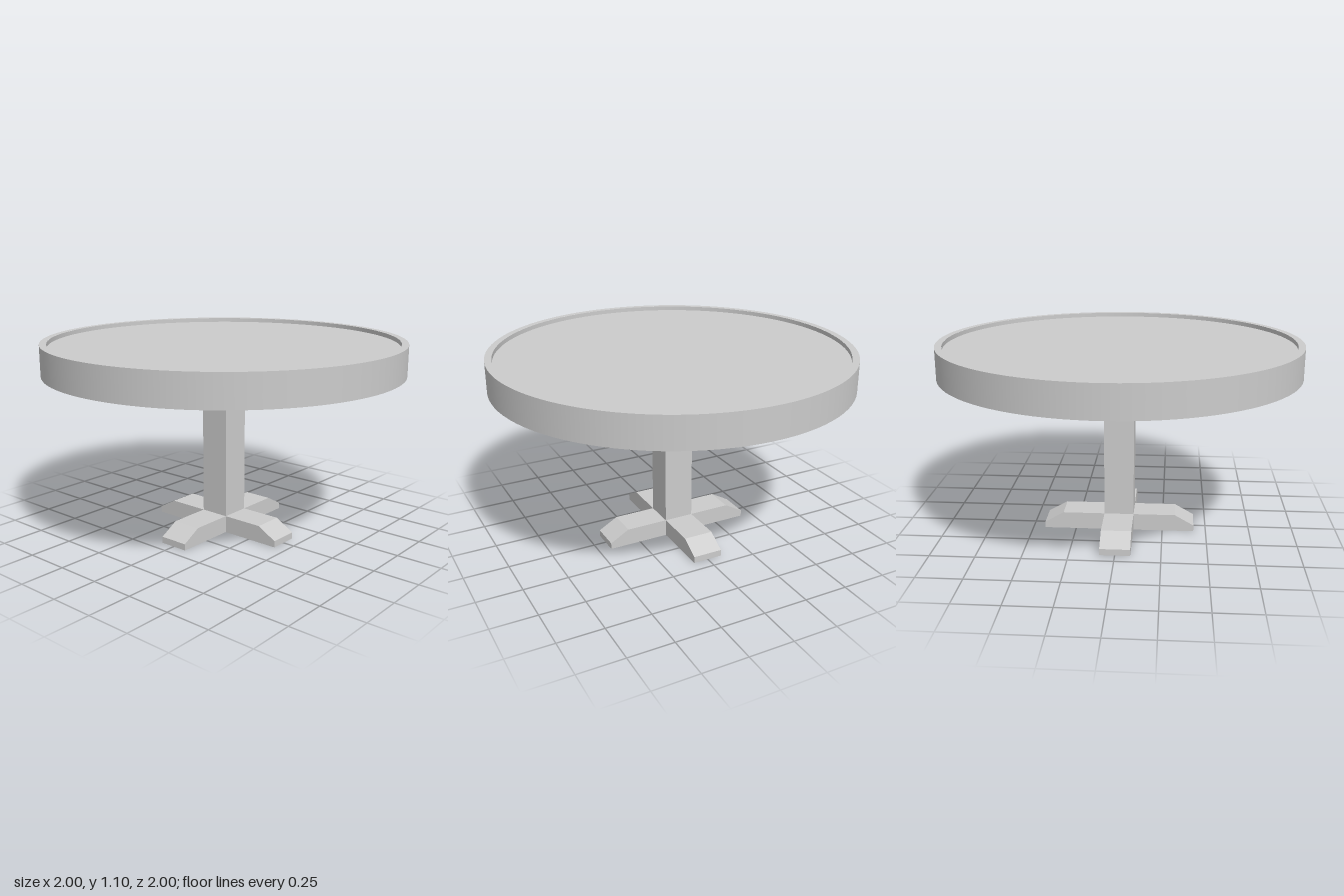
import * as THREE from 'three';

const material = new THREE.MeshStandardMaterial({ color: 0xcccccc });
const SEGMENTS = 96;
const TOP = 1.097, BOTTOM = 0.926, RECESS = 0.024, INNER = 0.962;
const HALF = 0.084; // half width of post and feet

function add(parent, name, geometry) {
  const mesh = new THREE.Mesh(geometry, material);
  mesh.name = name;
  parent.add(mesh);
  return mesh;
}

export function createModel() {
  const table = new THREE.Group();
  table.name = 'roundPedestalTable';

  // Rim: a flat ring extruded upwards, smooth around the circle
  const ring = new THREE.Shape().absarc(0, 0, 1, 0, Math.PI * 2);
  ring.holes.push(new THREE.Path().absarc(0, 0, INNER, 0, Math.PI * 2, true));
  for (const y of [TOP, BOTTOM]) {
    const face = add(table, y === TOP ? 'rimTop' : 'rimUnderside', new THREE.ShapeGeometry(ring, SEGMENTS));
    face.rotation.x = y === TOP ? -Math.PI / 2 : Math.PI / 2;
    face.position.y = y;
  }
  const height = TOP - BOTTOM, middle = (TOP + BOTTOM) / 2;
  const outer = new THREE.CylinderGeometry(1, 1, height, SEGMENTS, 1, true);
  add(table, 'rimOuterWall', outer).position.y = middle;
  // Lathe profile running downwards faces inwards
  const inner = [new THREE.Vector2(INNER, TOP), new THREE.Vector2(INNER, BOTTOM)];
  add(table, 'rimInnerWall', new THREE.LatheGeometry(inner, SEGMENTS));

  // Table top, recessed inside the rim above and below
  const board = new THREE.CylinderGeometry(INNER, INNER, height - 2 * RECESS, SEGMENTS);
  add(table, 'tableTop', board).position.y = middle;

  // Square post
  const postHeight = BOTTOM + RECESS - 0.05;
  const post = add(table, 'post', new THREE.BoxGeometry(2 * HALF, postHeight, 2 * HALF));
  post.position.y = 0.05 + postHeight / 2;

  // Four feet with sloping ends, in a cross
  const profile = new THREE.Shape([
    [HALF, 0], [0.43, 0], [0.43, 0.036], [0.322, 0.097], [HALF, 0.097],
  ].map(([x, y]) => new THREE.Vector2(x, y)));
  const footGeometry = new THREE.ExtrudeGeometry(profile, { depth: 2 * HALF, bevelEnabled: false });
  footGeometry.translate(0, 0, -HALF);
  for (let i = 0; i < 4; i++) {
    add(table, 'foot', footGeometry).rotation.y = i * Math.PI / 2;
  }

  // Centre block joining the feet under the post
  add(table, 'footCentre', new THREE.BoxGeometry(2 * HALF, 0.05, 2 * HALF)).position.y = 0.025;

  return table;
}
